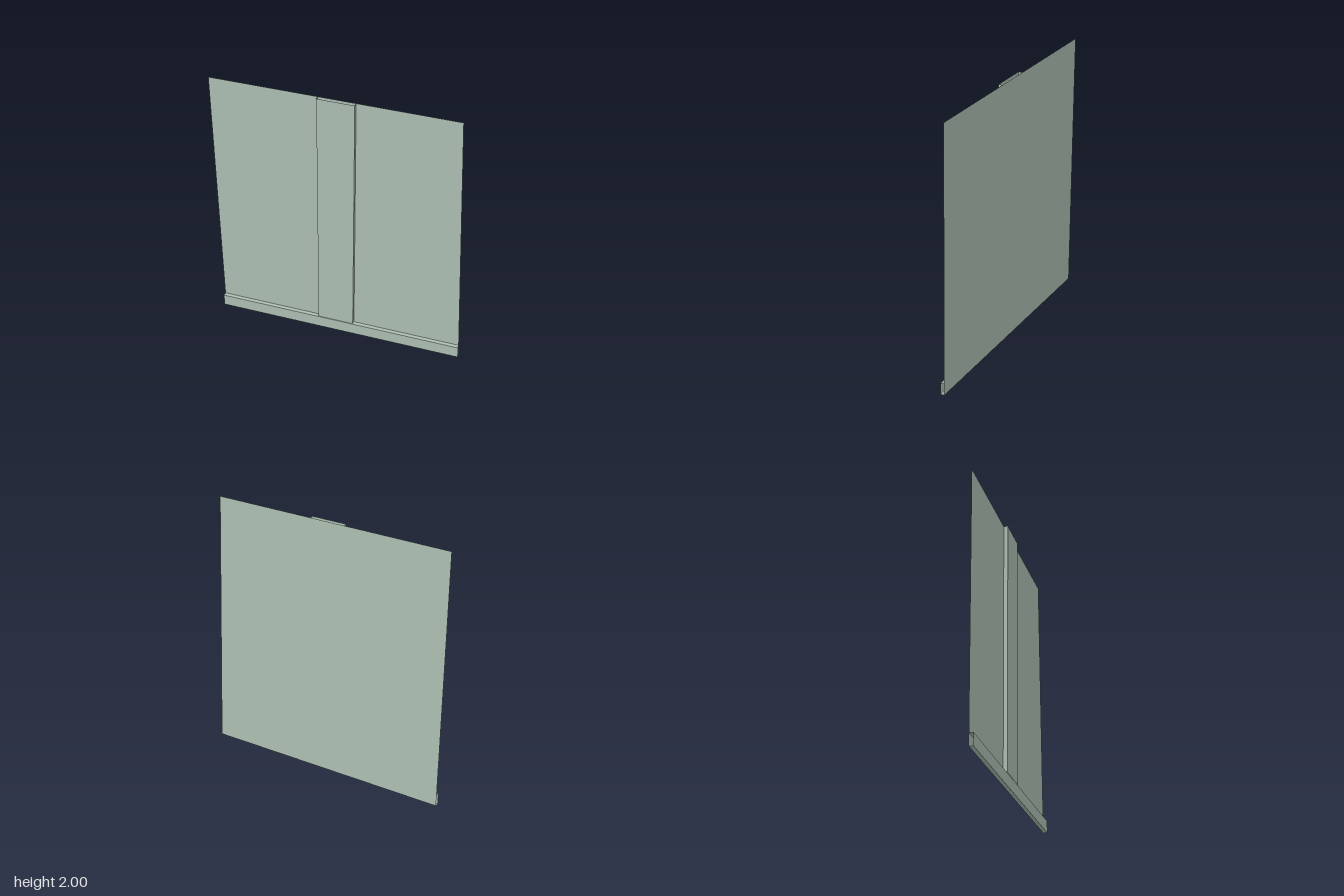
import * as THREE from 'three';

const BACK = -0.008, FRONT = 0.022, SKIRT = 0.09, TOP = 2;

// Slanted side edges of the wall panel
const leftX = (y) => THREE.MathUtils.lerp(-0.916, -0.937, y / TOP);
const rightX = (y) => THREE.MathUtils.lerp(0.932, 0.852, y / TOP);

// Flat strips, each given by four corners in counter-clockwise order
function quads(list) {
  const geometry = new THREE.BufferGeometry();
  const points = list.flatMap(([a, b, c, d]) => [a, b, c, a, c, d]).flat();
  geometry.setAttribute('position', new THREE.Float32BufferAttribute(points, 3));
  geometry.computeVertexNormals();
  return geometry;
}

export function createModel() {
  const group = new THREE.Group();
  const paint = new THREE.MeshStandardMaterial({ color: 0xadbfb2, side: THREE.DoubleSide });
  paint.name = 'sage paint';

  const add = (name, list) => {
    const mesh = new THREE.Mesh(quads(list), paint);
    mesh.name = name;
    group.add(mesh);
  };
  const L = (y, z) => [leftX(y), y, z];
  const R = (y, z) => [rightX(y), y, z];

  // Thin wall sheet
  add('wallPanel', [[L(0, BACK), R(0, BACK), R(TOP, BACK), L(TOP, BACK)]]);

  // Skirting with open ends: front, top ledge and underside
  add('skirting', [
    [L(0, FRONT), R(0, FRONT), R(SKIRT, FRONT), L(SKIRT, FRONT)],
    [L(SKIRT, FRONT), R(SKIRT, FRONT), R(SKIRT, BACK), L(SKIRT, BACK)],
    [L(0, BACK), R(0, BACK), R(0, FRONT), L(0, FRONT)],
  ]);

  // Raised upright strip, open at top and bottom
  const x0 = -0.147, x1 = 0.122, y0 = 0.095;
  add('pilaster', [
    [[x0, y0, FRONT], [x1, y0, FRONT], [x1, TOP, FRONT], [x0, TOP, FRONT]],
    [[x1, y0, FRONT], [x1, y0, BACK], [x1, TOP, BACK], [x1, TOP, FRONT]],
    [[x0, y0, BACK], [x0, y0, FRONT], [x0, TOP, FRONT], [x0, TOP, BACK]],
  ]);

  return group;
}
